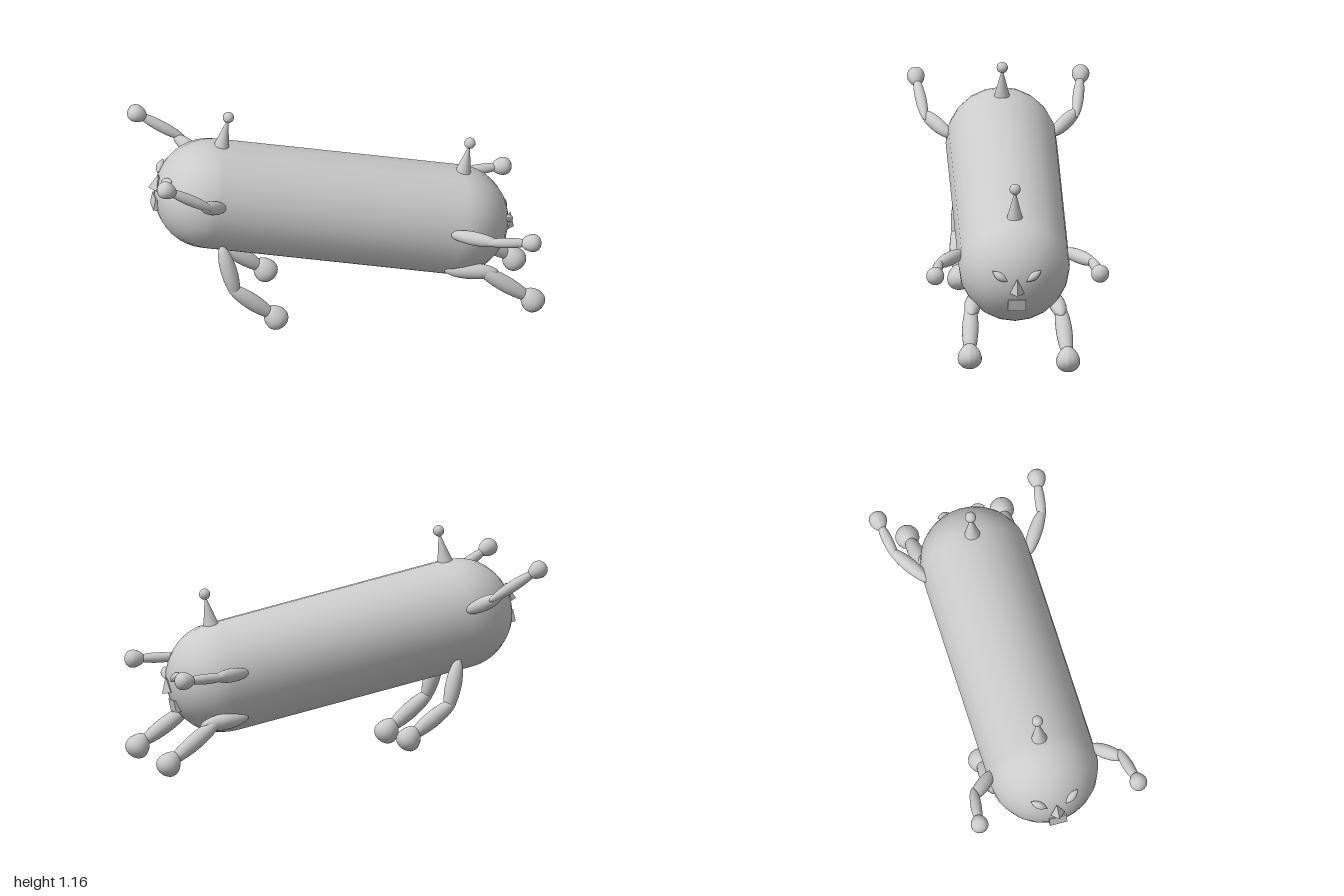
import * as THREE from 'three';

const material = new THREE.MeshStandardMaterial({ color: 0xcccccc, roughness: 0.8 });
const V = (p) => new THREE.Vector3(...p);
const UP = new THREE.Vector3(0, 1, 0);

function add(parent, geometry, name, position = [0, 0, 0]) {
  const mesh = new THREE.Mesh(geometry, material);
  mesh.name = name;
  mesh.position.set(...position);
  parent.add(mesh);
  return mesh;
}

// Ellipsoid stretched between two points
function segment(parent, name, a, b, radius) {
  const from = V(a), to = V(b);
  const dir = to.clone().sub(from);
  const geometry = new THREE.SphereGeometry(1, 20, 14);
  geometry.scale(radius, dir.length() / 2, radius);
  const mesh = add(parent, geometry, name, from.add(to).multiplyScalar(0.5).toArray());
  mesh.quaternion.setFromUnitVectors(UP, dir.normalize());
}

// Egg, narrow toward the limb and full at the far end
function egg(parent, name, center, dir, radius, half) {
  const geometry = new THREE.SphereGeometry(1, 20, 14);
  const p = geometry.attributes.position;
  for (let i = 0; i < p.count; i++) {
    const y = p.getY(i), k = radius * (1 + 0.22 * y);
    p.setXYZ(i, p.getX(i) * k, y * half, p.getZ(i) * k);
  }
  geometry.computeVertexNormals();
  const mesh = add(parent, geometry, name, center);
  mesh.quaternion.setFromUnitVectors(UP, V(dir).normalize());
}

// Two overlapping limb segments and an egg at the end
function limb(parent, name, [root, jointA, jointB, end], [upper, lower], tip) {
  const group = new THREE.Group();
  group.name = name;
  segment(group, 'upperSegment', root, jointA, upper);
  segment(group, 'lowerSegment', jointB, end, lower);
  egg(group, tip.name, end, tip.dir, tip.radius, tip.half);
  parent.add(group);
}

// Face looking along +x, centred on the end-cap centre
function buildFace() {
  const face = new THREE.Group();
  face.name = 'face';
  const profile = [];
  for (let i = 0; i <= 10; i++) {
    const t = -Math.PI / 2 + (Math.PI * i) / 10;
    profile.push(new THREE.Vector2(Math.max(0, 0.02 * Math.cos(t)), (0.047 * i) / 5 - 0.047));
  }
  for (const s of [1, -1]) {
    const eye = add(face, new THREE.LatheGeometry(profile, 16), 'eye', [0.257, 0.079, 0.085 * s]);
    eye.quaternion.setFromUnitVectors(UP, V([-0.035, 0.045, 0.075 * s]).normalize());
  }
  const nose = new THREE.ConeGeometry(0.036, 0.08, 4).toNonIndexed();
  nose.computeVertexNormals();
  add(face, nose, 'nose', [0.281, 0.036, 0]);
  add(face, new THREE.BoxGeometry(0.04, 0.06, 0.09), 'mouth', [0.257, -0.077, 0]);
  return face;
}

export function createModel() {
  const model = new THREE.Group();
  model.name = 'doubleEndedCreature';
  const R = 0.277, HALF = 0.629;

  // Tilted capsule body with a face and an antenna at each end
  const trunk = new THREE.Group();
  trunk.name = 'trunk';
  trunk.position.set(-0.045, 0.588, -0.005);
  trunk.rotation.z = -0.213;
  model.add(trunk);
  const capsule = new THREE.CapsuleGeometry(R, HALF * 2, 10, 20);
  capsule.rotateZ(Math.PI / 2);
  add(trunk, capsule, 'body');

  for (const s of [1, -1]) {
    const face = buildFace();
    face.position.x = s * HALF;
    if (s < 0) face.rotation.y = Math.PI;
    trunk.add(face);
    add(trunk, new THREE.ConeGeometry(0.04, 0.16, 20), 'antenna', [s * 0.625, R + 0.068, 0]);
    add(trunk, new THREE.SphereGeometry(0.028, 16, 12), 'antennaBall', [s * 0.625, R + 0.152, 0]);
  }

  // Arms, mirrored across the body
  for (const s of [1, -1]) {
    const side = (pts) => pts.map(([x, y, z]) => [x, y, s * z - 0.005]);
    limb(model, 'lowerEndArm',
      side([[0.51, 0.51, 0.25], [0.73, 0.51, 0.395], [0.66, 0.51, 0.375], [0.89, 0.505, 0.41]]),
      [0.035, 0.026], { name: 'hand', dir: [1, -0.02, 0.05 * s], radius: 0.044, half: 0.052 });
    limb(model, 'upperEndArm',
      side([[-0.63, 0.765, 0.25], [-0.77, 0.855, 0.39], [-0.71, 0.83, 0.375], [-0.95, 0.98, 0.41]]),
      [0.036, 0.028], { name: 'hand', dir: [-0.85, 0.5, 0.05 * s], radius: 0.043, half: 0.052 });
  }

  // Legs, each pair slightly staggered
  const foot = { name: 'foot', dir: [0.6, -0.8, 0], radius: 0.059, half: 0.065 };
  limb(model, 'lowerEndLeftLeg',
    [[0.49, 0.28, 0.19], [0.76, 0.255, 0.22], [0.65, 0.29, 0.215], [0.925, 0.095, 0.235]], [0.041, 0.041], foot);
  limb(model, 'lowerEndRightLeg',
    [[0.49, 0.28, -0.2], [0.75, 0.245, -0.235], [0.64, 0.28, -0.23], [0.92, 0.07, -0.255]], [0.041, 0.041], foot);
  limb(model, 'upperEndLeftLeg',
    [[-0.635, 0.52, 0.185], [-0.565, 0.245, 0.225], [-0.61, 0.31, 0.22], [-0.37, 0.115, 0.22]], [0.041, 0.041], foot);
  limb(model, 'upperEndRightLeg',
    [[-0.61, 0.52, -0.195], [-0.54, 0.26, -0.235], [-0.585, 0.32, -0.23], [-0.34, 0.14, -0.235]], [0.041, 0.041], foot);

  return model;
}
